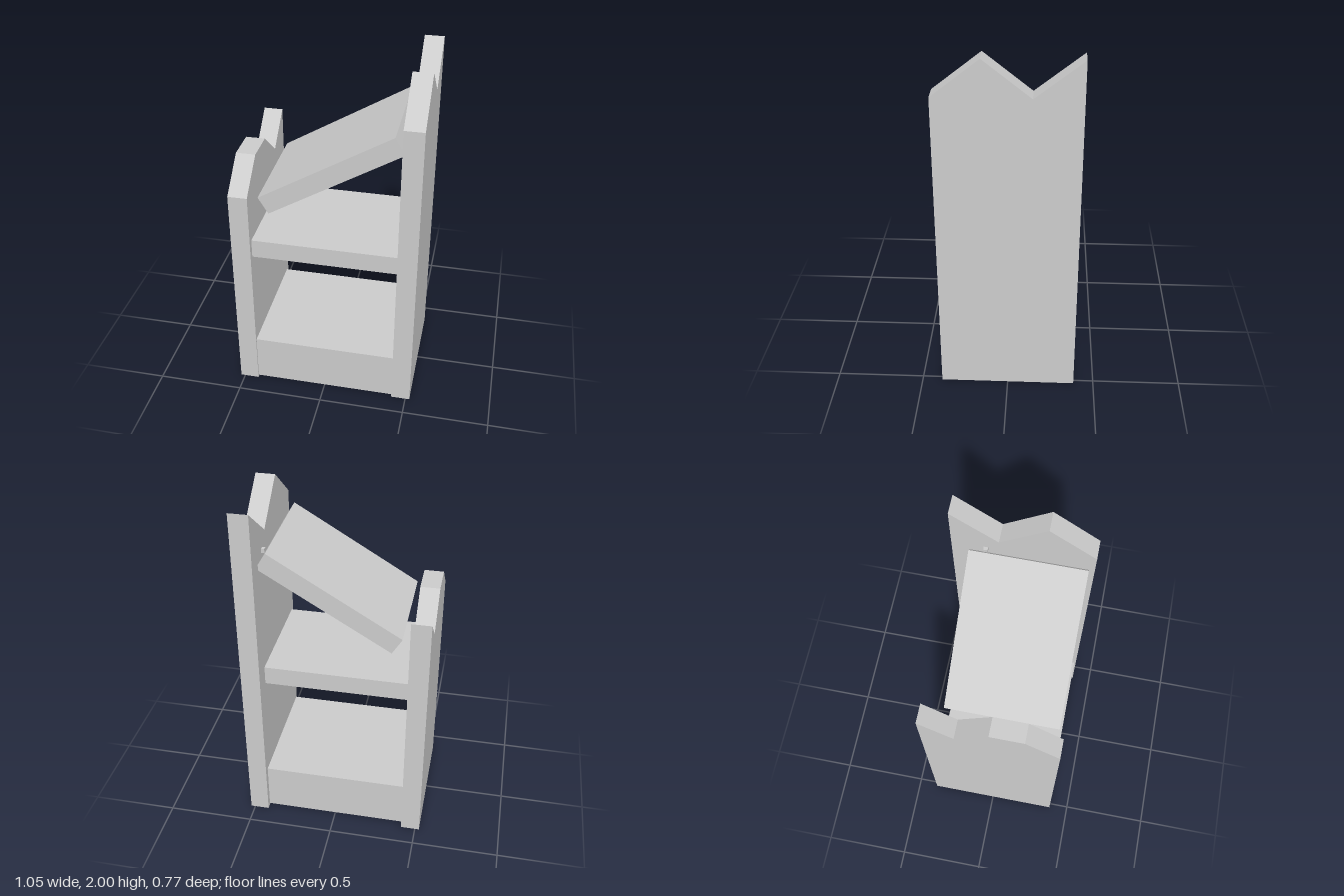
import * as THREE from 'three';

const material = new THREE.MeshStandardMaterial({ color: 0xcccccc, flatShading: true });

export function createModel() {
  const group = new THREE.Group();

  const add = (name, geometry) => {
    const mesh = new THREE.Mesh(geometry, material);
    mesh.name = name;
    group.add(mesh);
    return mesh;
  };

  // Box given by its limits on each axis
  const box = (name, [x0, x1], [y0, y1], [z0, z1]) => {
    const mesh = add(name, new THREE.BoxGeometry(x1 - x0, y1 - y0, z1 - z0));
    mesh.position.set((x0 + x1) / 2, (y0 + y1) / 2, (z0 + z1) / 2);
    return mesh;
  };

  // Upright panel with a notched top; outline points are [z, y], extruded along x
  const panel = (name, x0, top) => {
    const outline = [[0.385, 0], ...top, [-0.385, 0]];
    const shape = new THREE.Shape(outline.map(([z, y]) => new THREE.Vector2(-z, y)));
    const geometry = new THREE.ExtrudeGeometry(shape, { depth: 0.11, bevelEnabled: false });
    geometry.rotateY(Math.PI / 2);
    add(name, geometry).position.x = x0;
  };

  // Tall and short side panels
  panel('tallSidePanel', 0.415, [[0.385, 1.795], [0.128, 2], [-0.128, 1.795], [-0.385, 2]]);
  panel('shortSidePanel', -0.525, [[0.385, 1.297], [0.192, 1.465], [0, 1.465], [-0.194, 1.297], [-0.385, 1.465]]);

  // Base block and middle shelf between the panels
  box('base', [-0.415, 0.415], [0.01, 0.298], [-0.35, 0.375]);
  box('shelf', [-0.415, 0.415], [0.895, 1.005], [-0.283, 0.354]);

  // Sloping board, its upper end let into the tall panel
  const slope = add('slopingBoard', new THREE.BoxGeometry(0.86, 0.11, 0.637));
  slope.position.set(0.033, 1.467, 0.0355);
  slope.rotation.z = 0.541;

  // Small peg above the board
  box('peg', [0.397, 0.42], [1.699, 1.722], [-0.21, -0.186]);

  return group;
}
